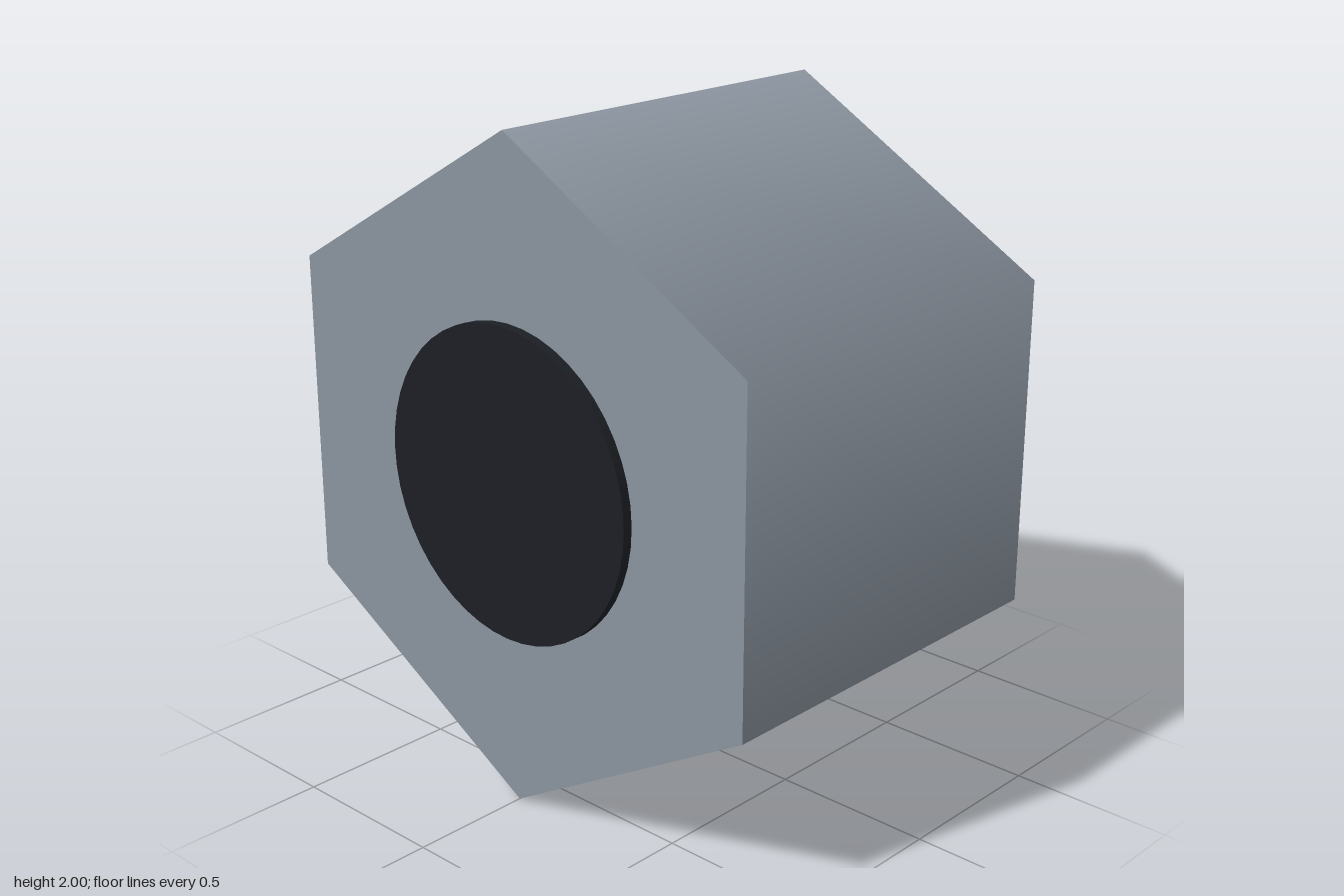
import * as THREE from 'three';

// Cylinder lying along z, centred at y = 1
function zCylinder(name, radius, length, sides, color) {
  const geometry = new THREE.CylinderGeometry(radius, radius, length, sides);
  geometry.rotateX(Math.PI / 2);
  const mesh = new THREE.Mesh(geometry, new THREE.MeshStandardMaterial({ color }));
  mesh.name = name;
  mesh.position.y = 1;
  return mesh;
}

export function createModel() {
  const group = new THREE.Group();
  group.name = 'hexNut';
  // Six-sided body with a corner at the top, sides smoothly shaded
  group.add(zCylinder('nutBody', 1, 1.25, 6, 0x8a939e));
  // Dark plug standing slightly proud of both faces, reading as the bore
  group.add(zCylinder('bore', 0.468, 1.31, 48, 0x1c1f24));
  return group;
}
